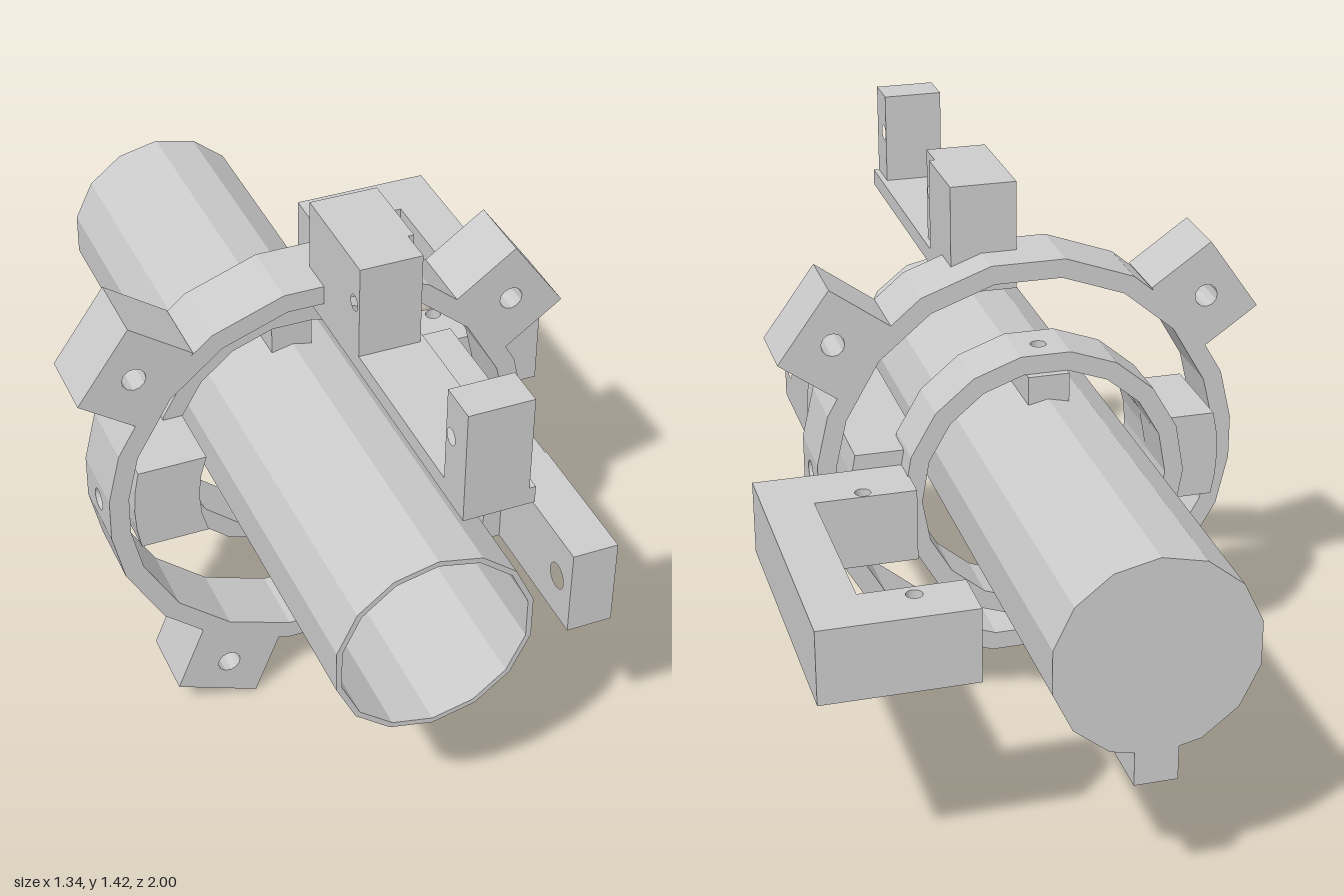
import * as THREE from 'three';
import { mergeGeometries } from 'three/addons/utils/BufferGeometryUtils.js';

const CX = -0.06, CY = 0.705; // common axis of tube and rings
const rad = THREE.MathUtils.degToRad;

export function createModel() {
  const model = new THREE.Group();
  const material = new THREE.MeshStandardMaterial({ color: 0xcccccc, flatShading: true });

  function add(name, geometry) {
    const mesh = new THREE.Mesh(geometry, material);
    mesh.name = name;
    model.add(mesh);
    return mesh;
  }
  // Box from its limits
  function box(name, x0, x1, y0, y1, z0, z1) {
    const g = new THREE.BoxGeometry(x1 - x0, y1 - y0, z1 - z0);
    g.translate((x0 + x1) / 2, (y0 + y1) / 2, (z0 + z1) / 2);
    return add(name, g);
  }
  // Plate from an outline with round holes [x, y, radius]
  function plate(points, depth, holes = [], segments = 10) {
    const shape = new THREE.Shape(points.map(([x, y]) => new THREE.Vector2(x, y)));
    for (const [x, y, r] of holes) shape.holes.push(new THREE.Path().absarc(x, y, r, 0, Math.PI * 2, true));
    return new THREE.ExtrudeGeometry(shape, { depth, bevelEnabled: false, curveSegments: segments });
  }
  // Plate drawn in (z, y) and extruded along x
  function sidePlate(points, x0, x1, holes = []) {
    const flip = ([z, ...rest]) => [-z, ...rest];
    return plate(points.map(flip), x1 - x0, holes.map(flip)).rotateY(Math.PI / 2).translate(x0, 0, 0);
  }
  // Faceted ring of tapered panels; panels centred on a hole angle are drilled
  function ring(name, angles, rIn, rOut, z0, z1, holeAngles, holeZ, holeR) {
    const panels = angles.map((a, i) => {
      const b = i + 1 < angles.length ? angles[i + 1] : angles[0] + 360;
      const mid = (a + b) / 2, half = rad((b - a) / 2), m = rad(mid);
      const ro = rOut * Math.cos(half), ri = rIn * Math.cos(half), w = ro * Math.tan(half);
      const holes = holeAngles.includes(mid) ? [[0, holeZ, holeR]] : [];
      const g = plate([[-w, z0], [w, z0], [w, z1], [-w, z1]], ro - ri, holes).translate(0, 0, ri);
      const p = g.attributes.position;
      for (let k = 0; k < p.count; k++) p.setX(k, p.getX(k) * p.getZ(k) / ro);
      return g.applyMatrix4(new THREE.Matrix4().makeBasis(
        new THREE.Vector3(-Math.sin(m), Math.cos(m), 0),
        new THREE.Vector3(0, 0, 1),
        new THREE.Vector3(Math.cos(m), Math.sin(m), 0)));
    });
    add(name, mergeGeometries(panels)).position.set(CX, CY, 0);
  }

  // Tube, open at the front and closed at the back
  const profile = [[0, -1], [0.25, -1], [0.25, 0.905], [0.236, 0.905], [0.236, -0.98], [0, -0.98]];
  const tube = new THREE.LatheGeometry(profile.map(([x, y]) => new THREE.Vector2(x, y)), 14);
  add('tube', tube.rotateX(Math.PI / 2)).position.set(CX, CY, 0);
  box('tubeFin', -0.115, -0.01, 0.38, 0.48, -1, -0.62);

  // Gimbal rings
  const even = Array.from({ length: 18 }, (_, i) => i * 20);
  const outer = even.flatMap(a => (a % 180 ? [a] : a ? [a - 6, a + 6] : [6])).concat(354);
  ring('outerRing', outer, 0.503, 0.553, 0.035, 0.22, [0, 180, 360], 0.13, 0.028);
  ring('innerRing', even, 0.318, 0.367, -0.12, 0.035, [90, 270], -0.05, 0.02);

  // Pivot blocks joining the tube and the inner ring
  box('upperPivot', -0.115, -0.01, 0.94, 1.018, -0.138, 0.03);
  box('lowerPivot', -0.115, -0.01, 0.393, 0.47, -0.138, 0.03);

  // Side blocks following the curves of both rings
  function curvedBlock(name, side, z0, z1) {
    const ys = [-0.115, -0.06, 0, 0.06, 0.115];
    const arc = r => ys.map(y => [side * Math.sqrt(r * r - y * y), y]);
    const g = plate([...arc(0.485), ...arc(0.318).reverse()], z1 - z0);
    add(name, g.translate(CX, CY, z0));
  }
  curvedBlock('rightPivotBlock', -1, -0.05, 0.21);
  curvedBlock('leftPivotBlock', 1, -0.05, 0.5);
  add('leftArm', sidePlate([[0.5, 0.59], [0.87, 0.59], [0.87, 0.82], [0.5, 0.82]], 0.3, 0.415,
    [[0.8, 0.705, 0.033]]));

  // Lugs on the outer ring: outer edge middle and facing angle
  const lugs = [['leftLug', 0.513, 1.138, 36], ['rightLug', -0.605, 1.163, 145], ['lowerLug', -0.35, 0.048, 248]];
  for (const [name, x, y, angle] of lugs) {
    const outline = [[-0.19, -0.114], [0, -0.114], [0, 0.114], [-0.19, 0.114]];
    const lug = add(name, plate(outline, 0.185, [[-0.09, 0, 0.03]], 6));
    lug.position.set(x, y, 0.035);
    lug.rotation.z = rad(angle);
  }

  // Top bracket with two drilled uprights, narrower in its outer layer
  add('topBracket', sidePlate(
    [[0.13, 1.147], [1, 1.147], [1, 1.43], [0.9, 1.43], [0.9, 1.19], [0.43, 1.19], [0.43, 1.43], [0.13, 1.43]],
    -0.055, 0.1, [[0.925, 1.322, 0.02], [0.4, 1.322, 0.02]]));
  add('topBracketSide', sidePlate(
    [[0.13, 1.147], [1, 1.147], [1, 1.19], [0.345, 1.19], [0.345, 1.43], [0.13, 1.43]], 0.1, 0.115));

  // C-shaped side bracket with two vertical holes, drawn in (x, -z)
  const c = plate(
    [[0.29, 0.05], [0.67, 0.05], [0.67, 0.81], [0.29, 0.81], [0.29, 0.67], [0.545, 0.67], [0.545, 0.2], [0.29, 0.2]],
    0.19, [[0.42, 0.705, 0.02], [0.42, 0.175, 0.02]]);
  add('sideBracket', c.rotateX(-Math.PI / 2).translate(0, 0.59, 0));

  return model;
}
